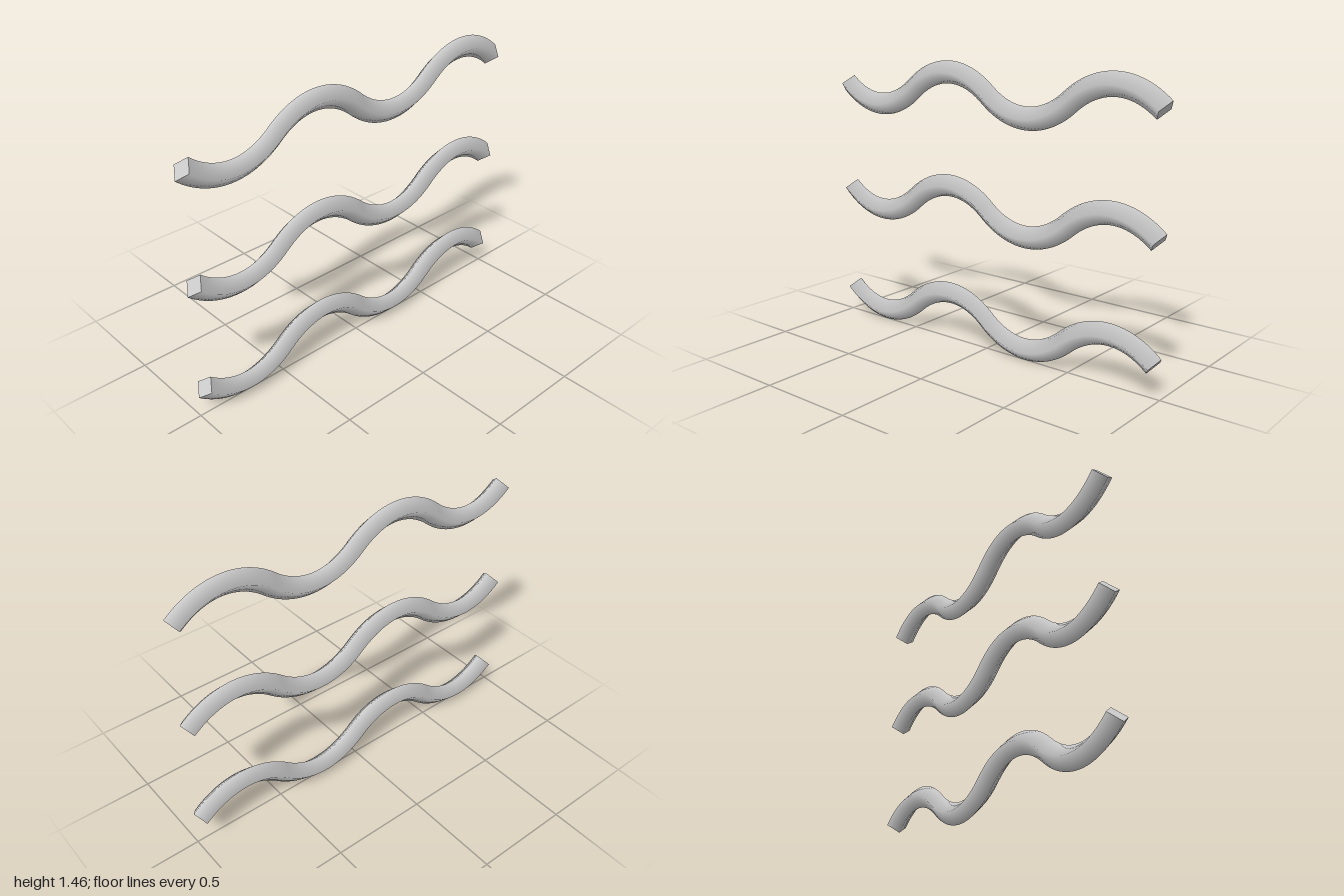
import * as THREE from 'three';

const RADIUS = 0.057;
const HALF_WAVE = 0.4815; // length of one trough or crest
const HALF_LENGTH = HALF_WAVE * 2;
const HANDLE_X = 0.149;
const HANDLE_Y = 0.128;

// Centre line: trough, crest, trough, crest
function wavePath() {
  const path = new THREE.CurvePath();
  for (let i = 0; i < 4; i++) {
    const x0 = -HALF_LENGTH + i * HALF_WAVE;
    const x1 = x0 + HALF_WAVE;
    const y = i % 2 === 0 ? -HANDLE_Y : HANDLE_Y;
    path.add(new THREE.CubicBezierCurve3(
      new THREE.Vector3(x0, 0, 0),
      new THREE.Vector3(x0 + HANDLE_X, y, 0),
      new THREE.Vector3(x1 - HANDLE_X, y, 0),
      new THREE.Vector3(x1, 0, 0)
    ));
  }
  return path;
}

// Flat diamond closing one end; side is -1 or +1 along x
function endCap(side) {
  const cap = new THREE.CircleGeometry(RADIUS, 4);
  cap.rotateY(side * Math.PI / 2);
  cap.rotateZ(-Math.atan2(HANDLE_Y, HANDLE_X));
  cap.translate(side * HALF_LENGTH, 0, 0);
  return cap;
}

export function createModel() {
  const model = new THREE.Group();
  model.name = 'wavyBars';

  const grey = new THREE.MeshStandardMaterial({ color: 0xcccccc });
  grey.name = 'light grey';

  // Four-sided smooth tube shared by all three waves
  const tube = new THREE.TubeGeometry(wavePath(), 128, RADIUS, 4, false);
  const parts = [['bar', tube], ['rightEnd', endCap(-1)], ['leftEnd', endCap(1)]];

  ['lowerWave', 'middleWave', 'upperWave'].forEach((name, i) => {
    const wave = new THREE.Group();
    wave.name = name;
    wave.position.y = 0.158 + i * 0.577;
    for (const [partName, geometry] of parts) {
      const mesh = new THREE.Mesh(geometry, grey);
      mesh.name = partName;
      wave.add(mesh);
    }
    model.add(wave);
  });

  return model;
}
